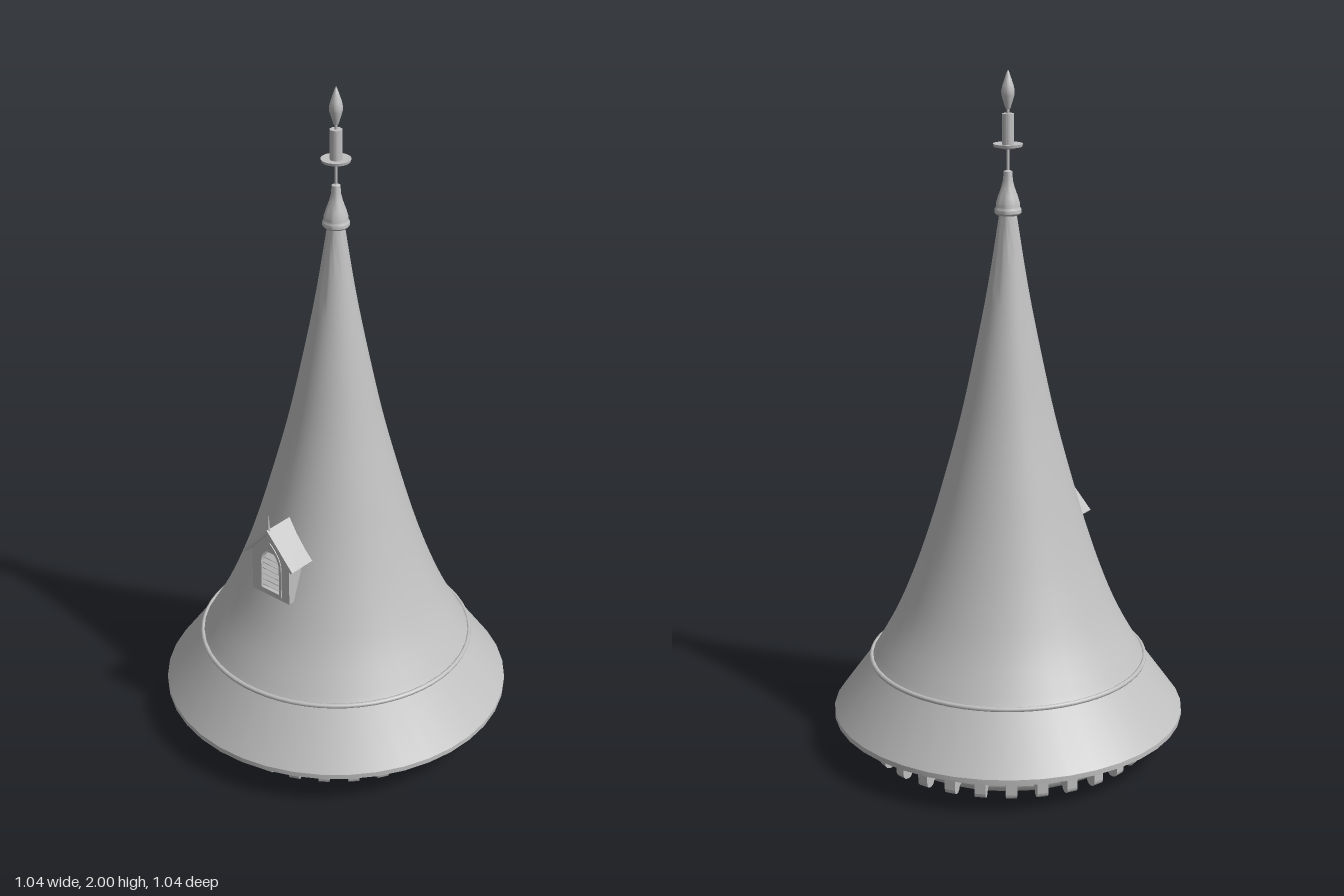
import * as THREE from 'three';
import { toCreasedNormals } from 'three/addons/utils/BufferGeometryUtils.js';

export function createModel() {
  const model = new THREE.Group();
  model.name = 'spireRoof';
  const stone = new THREE.MeshStandardMaterial({ color: 0xc0c0c0 });
  stone.name = 'plainGrey';

  const add = (name, geometry, parent = model) => {
    const mesh = new THREE.Mesh(geometry, stone);
    mesh.name = name;
    parent.add(mesh);
    return mesh;
  };
  // Turned part from [radius, height] pairs, with crisp arrises
  const turned = (name, points, sides = 40) => add(name, toCreasedNormals(
    new THREE.LatheGeometry(points.map(([r, y]) => new THREE.Vector2(r, y)), sides), 0.6));
  const box = (name, w, h, d, x, y, z, parent) => {
    const mesh = add(name, new THREE.BoxGeometry(w, h, d), parent);
    mesh.position.set(x, y, z);
    return mesh;
  };

  // Flared roof: a smooth concave curve above a straight eave skirt
  const flare = new THREE.SplineCurve([
    [0.405, 0.275], [0.335, 0.4], [0.28, 0.53], [0.235, 0.66], [0.193, 0.8],
    [0.139, 1.0], [0.095, 1.2], [0.056, 1.4], [0.023, 1.61],
  ].map(([r, y]) => new THREE.Vector2(r, y))).getPoints(32).map(p => [p.x, p.y]);
  turned('roof', [[0.42, 0.1], [0.52, 0.1], [0.52, 0.115], ...flare]);
  const band = add('roofBand', new THREE.TorusGeometry(0.406, 0.007, 8, 64));
  band.rotation.x = Math.PI / 2;
  band.position.y = 0.275;

  // Cornice under the eave, hollow in the middle
  turned('ceiling', [[0, 0.1], [0.335, 0.1]]).material.side = THREE.DoubleSide;
  turned('corniceDrum', [
    [0.33, 0.11], [0.33, 0.008], [0.338, 0.002], [0.352, 0], [0.366, 0.003],
    [0.376, 0.012], [0.38, 0.025], [0.392, 0.03], [0.392, 0.066],
    [0.43, 0.066], [0.43, 0.075], [0.438, 0.08], [0.438, 0.1],
  ]);

  // Ring of scrolled brackets
  const profile = new THREE.Shape();
  profile.moveTo(0.37, 0.068);
  profile.lineTo(0.428, 0.068);
  profile.lineTo(0.428, 0.022);
  profile.quadraticCurveTo(0.426, 0.006, 0.412, 0.006);
  profile.quadraticCurveTo(0.398, 0.006, 0.394, 0.022);
  profile.lineTo(0.37, 0.03);
  profile.closePath();
  const bracketGeometry = new THREE.ExtrudeGeometry(profile,
    { depth: 0.032, bevelEnabled: false, curveSegments: 4 });
  bracketGeometry.translate(0, 0, -0.016);
  const brackets = new THREE.Group();
  brackets.name = 'brackets';
  model.add(brackets);
  const count = 30;
  for (let i = 0; i < count; i++) {
    add('bracket', bracketGeometry, brackets).rotation.y = -Math.PI / 2 + i * Math.PI * 2 / count;
  }

  // Finial: collar, rod, dish, candle and flame-shaped tip
  turned('finialCollar', [[0, 1.598], [0.032, 1.598], [0.038, 1.604], [0.038, 1.614], [0.034, 1.62],
    [0.034, 1.63], [0.028, 1.65], [0.019, 1.675], [0.014, 1.695], [0.012, 1.72], [0, 1.726]], 24);
  turned('finialRod', [[0.0045, 1.7], [0.0045, 1.92]], 10);
  turned('finialDish', [[0, 1.782], [0.012, 1.782], [0.04, 1.789], [0.042, 1.797],
    [0.038, 1.797], [0, 1.793]], 24);
  turned('finialCandle', [[0, 1.793], [0.017, 1.793], [0.017, 1.88], [0, 1.88]], 20);
  turned('finialTip', [[0, 1.892], [0.007, 1.894], [0.012, 1.91], [0.018, 1.93], [0.019, 1.942],
    [0.016, 1.957], [0.01, 1.975], [0.004, 1.992], [0, 2]], 16);

  // Dormer
  const dormer = new THREE.Group();
  dormer.name = 'dormer';
  model.add(dormer);

  const gable = () => {
    const s = new THREE.Shape();
    s.moveTo(-0.071, 0.53);
    s.lineTo(0.071, 0.53);
    s.lineTo(0.071, 0.67);
    s.lineTo(0, 0.745);
    s.lineTo(-0.071, 0.67);
    s.closePath();
    return s;
  };
  const arch = (Type, w, bottom, spring, top) => {
    const p = new Type();
    p.moveTo(-w, bottom);
    p.lineTo(w, bottom);
    p.lineTo(w, spring);
    p.quadraticCurveTo(w, (spring + top) / 2, 0, top);
    p.quadraticCurveTo(-w, (spring + top) / 2, -w, spring);
    p.closePath();
    return p;
  };
  const extrude = (name, shape, z, depth) => {
    const g = new THREE.ExtrudeGeometry(shape, { depth, bevelEnabled: false, curveSegments: 8 });
    g.translate(0, 0, z);
    return add(name, g, dormer);
  };
  extrude('dormerBody', gable(), 0.14, 0.13);
  const front = gable();
  front.holes.push(arch(THREE.Path, 0.038, 0.545, 0.64, 0.705));
  extrude('dormerFront', front, 0.27, 0.018);

  // Pointed window frame and louvres
  const frame = arch(THREE.Shape, 0.042, 0.541, 0.64, 0.711);
  frame.holes.push(arch(THREE.Path, 0.034, 0.549, 0.638, 0.697));
  extrude('windowFrame', frame, 0.27, 0.021);
  for (let i = 0; i < 6; i++) {
    const y = 0.56 + i * 0.019;
    const width = i < 5 ? 0.07 : 0.052;
    box('louvre', width, 0.004, 0.018, 0, y, 0.277, dormer).rotation.x = 0.6;
  }

  // Dormer roof slopes, mirrored about the ridge
  for (const side of [-1, 1]) {
    const slope = new THREE.Shape();
    slope.moveTo(0, 0.748);
    slope.lineTo(side * 0.09, 0.65);
    slope.lineTo(side * 0.096, 0.656);
    slope.lineTo(0, 0.76);
    slope.closePath();
    extrude('dormerRoofSlope', slope, 0.17, 0.132);
  }
  const spike = add('dormerSpike', new THREE.CylinderGeometry(0.001, 0.005, 0.055, 8), dormer);
  spike.position.set(0, 0.776, 0.293);

  return model;
}
